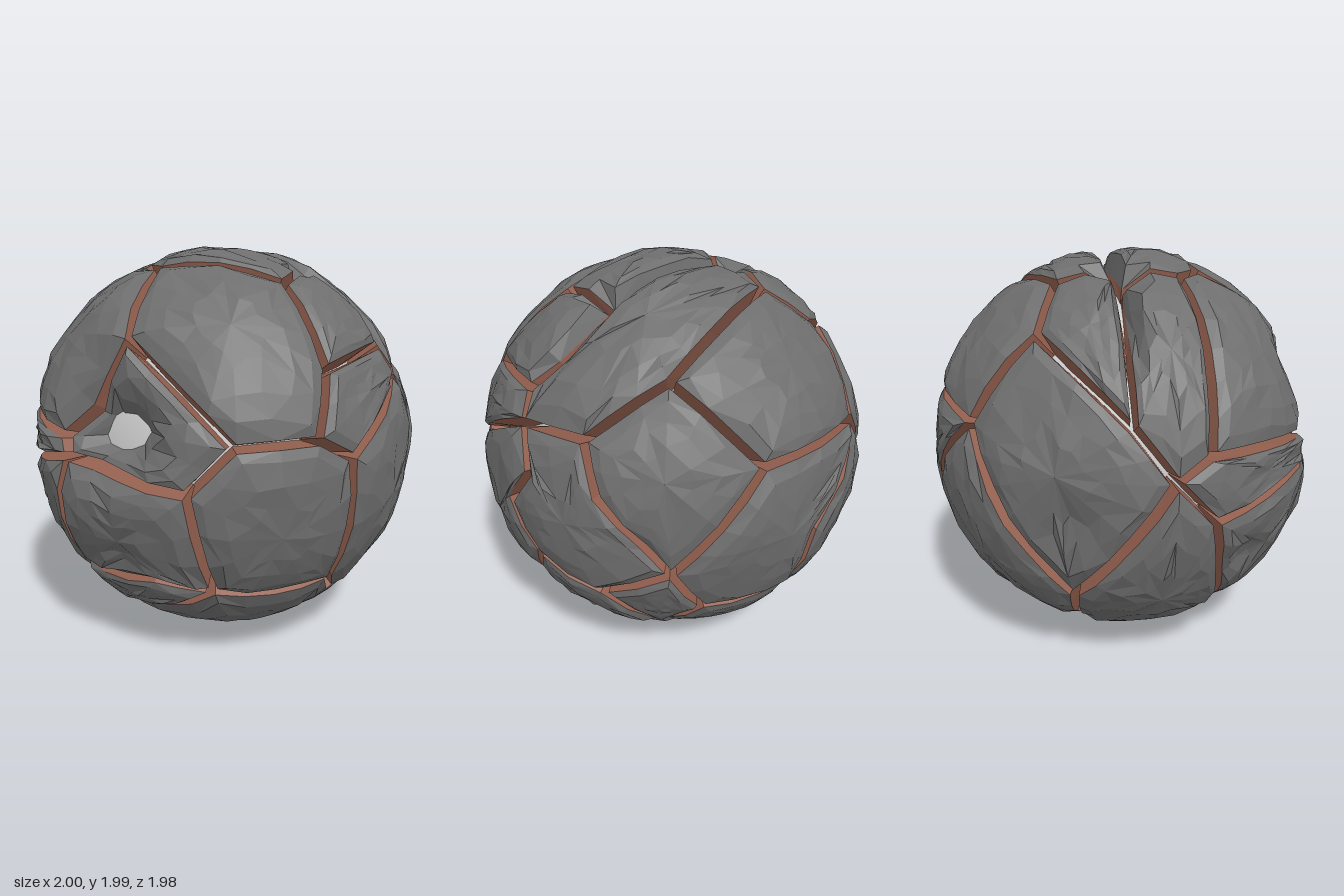
import * as THREE from 'three';

const V = (x, y, z) => new THREE.Vector3(x, y, z);

// Crack junctions, as directions from the middle of the ball
const J = {
  // front
  a: [-0.15, 0.61, 0.75], ai: [-0.37, 0.32, 0.85], e: [0.72, 0.2, 0.64], f: [0.42, 0.19, 0.88],
  g: [0.23, -0.02, 0.97], h: [-0.47, 0.05, 0.87], i: [-0.5, 0.15, 0.84], k: [0.28, -0.54, 0.78],
  kl: [0, -0.5, 0.85], l: [-0.5, -0.56, 0.66], m: [-0.47, -0.79, 0.38],
  // top
  b: [-0.2, 0.9, 0.33], bl: [-0.32, 0.9, 0.22], c: [0.43, 0.85, 0.28], t1: [-0.31, 0.94, -0.08],
  t2: [0.43, 0.89, -0.07], t3: [0.72, 0.67, -0.07], u: [0.46, 0.67, -0.57], v: [-0.26, 0.87, -0.37],
  // right side
  d: [0.71, 0.49, 0.51], p: [0.83, 0.1, 0.5], o: [0.72, -0.56, 0.38], q: [0.9, 0.4, -0.04],
  qa: [0.95, 0.2, -0.16], qb: [0.98, 0, -0.02], r: [0.83, 0.54, 0], s: [0.8, 0.43, -0.4],
  sa: [0.8, 0.19, -0.5], z1: [0.77, -0.38, -0.45], z2: [0.92, -0.28, -0.13],
  z3: [0.65, -0.7, 0.17], x1: [0.83, -0.52, 0.02], x2: [0.63, -0.75, -0.12], x3: [0.47, -0.65, -0.52],
  // back
  x4: [0.41, -0.46, -0.76], y2: [0.59, -0.18, -0.75], w3: [0.2, 0.31, -0.9], w4: [-0.51, 0.69, -0.49],
  w5: [-0.48, 0.28, -0.79], w6: [-0.1, -0.12, -0.95], w8: [-0.05, -0.48, -0.84],
  // left side and bottom
  n1: [-0.39, -0.84, -0.29], n2: [-0.75, -0.51, -0.37], n3: [-0.89, 0.35, -0.12], n4: [-0.96, 0.11, 0.06],
  n5: [-0.94, 0.21, 0.22], n6: [-0.95, -0.1, 0.25], n7: [-0.87, -0.35, 0.3], b1: [-0.06, -0.95, -0.17],
};
for (const key in J) J[key] = V(...J[key]).normalize();

// Plates as loops of junctions, with an optional wider gap
const PLATES = [
  ['craterPlate', 'a f g h i ai', 0.026], ['frontPlate', 'g h l kl k'], ['lowerFrontPlate', 'l kl k m'],
  ['frontLeftPlate', 'f e p o k g'], ['upperLeftPlate', 'a b c d e f'], ['upperRightPlate', 'a b bl n5 i ai'],
  ['smallRightPlate', 'n5 i h n6 n4'], ['lowerRightPlate', 'n6 h l m n7'], ['topPlate', 'bl b c t2 t1'],
  ['topRightPlate', 'bl t1 n3 n4 n5'], ['topLeftPlate', 'c d r t3 t2'], ['topBackPlate', 't1 t2 t3 r q s u v'],
  ['topBackRightPlate', 't1 v w4 n3'], ['upperBackPlate', 'u v w4 w5 w3'], ['leftUpperPlate', 'd e p q r'],
  ['leftPlate', 'p q qa qb z2 x1 z3 o'], ['leftBackPlate', 'q s sa y2 z1 z2 qb qa'],
  ['leftLowerPlate', 'z2 z1 x3 x2 x1'], ['lowerBackLeftPlate', 'z1 y2 x4 x3'], ['backLeftPlate', 's u w3 y2 sa'],
  ['backPlate', 'y2 w3 w5 w6 w8 x4'], ['backRightPlate', 'n3 w4 w5 n2 n4', 0.03],
  ['lowerBackRightPlate', 'w5 n2 n1 w8 w6'], ['rightPlate', 'n4 n6 n7 m n1 n2'],
  ['lowerBackPlate', 'x3 x4 w8 n1'], ['bottomBackPlate', 'x2 x3 n1 b1'], ['bottomPlate', 'm k o z3 x1 x2 b1 n1'],
];

// Dents: direction, depth, width
const DENTS = [
  [V(-0.3, 0.22, 0.93), 0.19, 0.19], [V(-0.1, 0.23, 0.97), 0.19, 0.17], [V(-0.18, -0.4, 0.9), 0.04, 0.12],
  [V(-0.8, -0.38, 0.47), 0.07, 0.12], [V(-0.35, 0.47, 0.81), 0.07, 0.15], [V(0.12, 0.48, 0.87), 0.05, 0.2],
  [V(0.72, -0.05, -0.65), 0.04, 0.13], [V(-0.85, -0.1, -0.4), 0.06, 0.16],
].map(([d, depth, width]) => [d.normalize(), depth, width]);

function hash(p, k) {
  const s = Math.sin(p.x * 127.1 + p.y * 311.7 + p.z * 74.7 + k * 53.3) * 43758.5453;
  return s - Math.floor(s);
}

// Place a direction on the uneven outer surface
function onSurface(p) {
  const d = p.clone().normalize();
  let r = 0.995 + 0.014 * (hash(d, 1) - 0.5) + 0.01 * Math.sin(9 * d.x + 2) * Math.sin(8 * d.y + 1) * Math.sin(9 * d.z);
  for (const [c, depth, width] of DENTS) r -= depth * Math.exp(-c.distanceToSquared(d) / (width * width));
  // long notch over the top
  if (d.y > 0.5) r -= 0.16 * Math.min(1, (d.y - 0.5) * 3) * Math.exp(-(((d.z + 0.08) / 0.04) ** 2));
  return d.multiplyScalar(r);
}

// Outline of a plate, counterclockwise from outside, moved inward by the gap
function plateOutline(keys, gap) {
  let loop = keys.split(' ').map(key => J[key]);
  const mid = loop.reduce((s, p) => s.add(p), V(0, 0, 0)).normalize();
  const turn = loop.reduce((s, p, i) => s + p.clone().cross(loop[(i + 1) % loop.length]).dot(mid), 0);
  if (turn < 0) loop = loop.slice().reverse();
  const sides = loop.map((p, i) => p.clone().cross(loop[(i + 1) % loop.length]).normalize());
  const corners = loop.map((p, i) => {
    const n1 = sides[(i + loop.length - 1) % loop.length], n2 = sides[i];
    return p.clone().addScaledVector(n1.clone().add(n2), gap / Math.max(0.4, 1 + n1.dot(n2)));
  });
  // split long edges
  const pts = [];
  corners.forEach((p, i) => {
    const next = corners[(i + 1) % corners.length];
    const n = Math.max(1, Math.round(p.distanceTo(next) / 0.16));
    for (let k = 0; k < n; k++) pts.push(p.clone().lerp(next, k / n));
  });
  return pts;
}

function flatMesh(name, tris, material) {
  const geo = new THREE.BufferGeometry().setFromPoints(tris);
  geo.computeVertexNormals();
  const mesh = new THREE.Mesh(geo, material);
  mesh.name = name;
  return mesh;
}

// Triangles between two closed loops of equal length, outer loop first
function band(tris, outer, inner) {
  outer.forEach((a, i) => {
    const j = (i + 1) % outer.length;
    const b = outer[j], c = inner[j], d = inner[i];
    if (i % 2) tris.push(a, b, c, a, c, d);
    else tris.push(a, b, d, b, c, d);
  });
}

export function createModel() {
  const rock = new THREE.MeshStandardMaterial({ color: 0x6e6e6e, flatShading: true });
  const crack = new THREE.MeshStandardMaterial({ color: 0x94604f, flatShading: true, side: THREE.DoubleSide });
  const pale = new THREE.MeshStandardMaterial({ color: 0xcccccc });

  const ball = new THREE.Group();
  ball.name = 'crackedBall';
  ball.position.y = 1;

  // Pale core, visible through the crater and the widest cracks
  const core = new THREE.Mesh(new THREE.SphereGeometry(0.8, 40, 24), pale);
  core.name = 'core';
  ball.add(core);

  for (const [name, keys, gap = 0.021] of PLATES) {
    const outline = plateOutline(keys, gap);
    const mid = outline.reduce((s, p) => s.add(p), V(0, 0, 0)).divideScalar(outline.length);
    const plate = new THREE.Group();
    plate.name = name;

    // Faceted outer face built from shrinking loops
    const loops = [1, 0.84, 0.6, 0.33].map((t, k) => outline.map(p => {
      const s = k ? t + 0.1 * (hash(p, k + 5) - 0.5) : 1;
      const q = onSurface(mid.clone().lerp(p, s));
      return k ? q : q.multiplyScalar(0.985);
    }));
    const face = [];
    for (let k = 0; k < 3; k++) band(face, loops[k], loops[k + 1]);
    const top = onSurface(mid);
    loops[3].forEach((p, i) => face.push(p, loops[3][(i + 1) % loops[3].length], top));
    plate.add(flatMesh('plateFace', face, rock));

    // Sloping broken edge down to the core
    const foot = outline.map(p => {
      const out = p.clone().sub(mid).normalize();
      return p.clone().addScaledVector(out, 0.022).normalize().multiplyScalar(0.8);
    });
    const wall = [];
    band(wall, foot, loops[0]);
    plate.add(flatMesh('plateEdge', wall, crack));
    ball.add(plate);
  }

  const model = new THREE.Group();
  model.name = 'model';
  model.add(ball);
  // Rest the lowest point on the ground
  ball.position.y -= new THREE.Box3().setFromObject(ball).min.y;
  return model;
}
